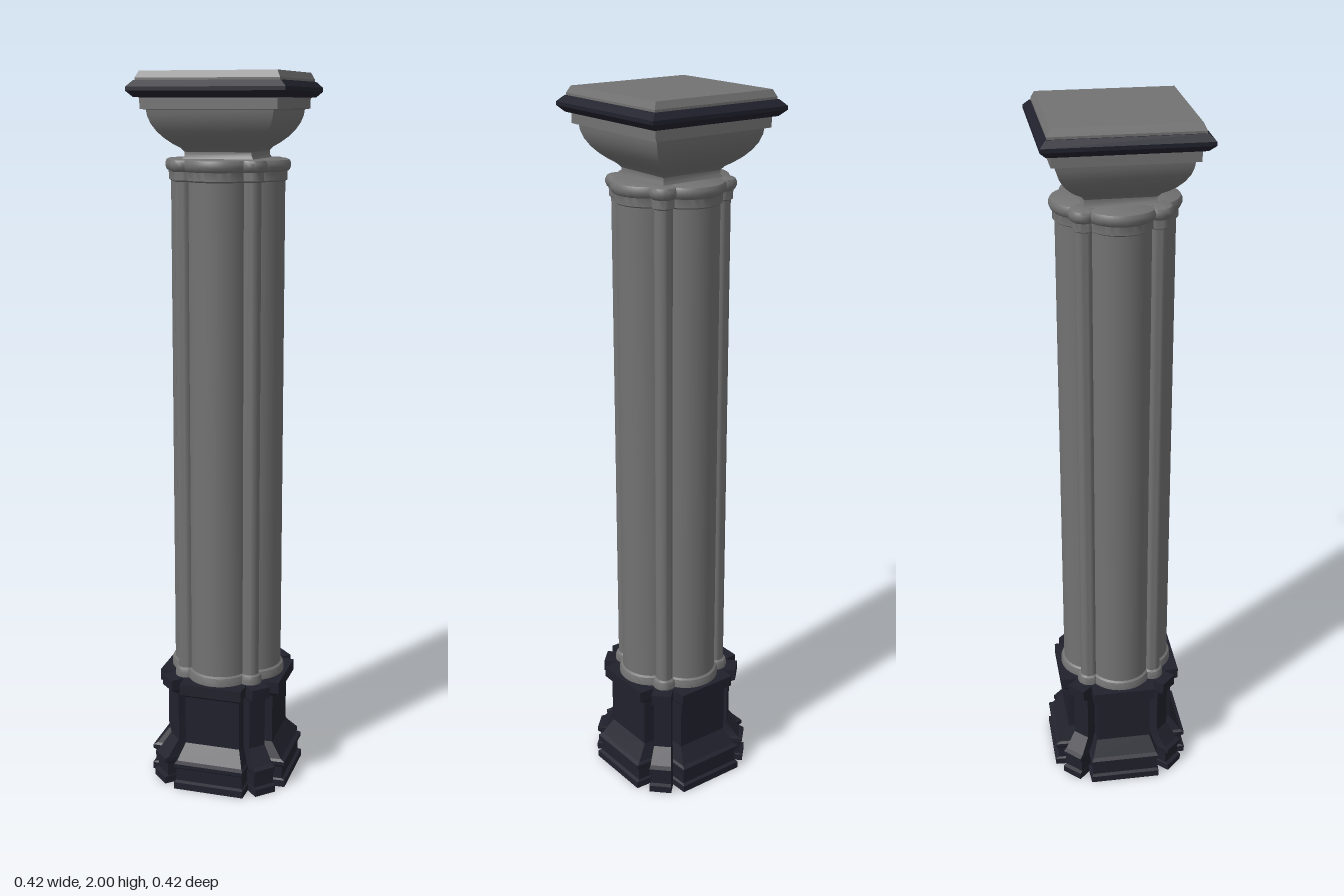
import * as THREE from 'three';
import { toCreasedNormals } from 'three/addons/utils/BufferGeometryUtils.js';

const stone = new THREE.MeshStandardMaterial({ color: 0x727272 });
stone.name = 'grey stone';
const dark = new THREE.MeshStandardMaterial({ color: 0x21212d });
dark.name = 'dark stone';

// Stacks a plan outline, scaled and lifted by each [scale, y] of the profile
function loft(outline, profile, crease) {
  const n = outline.length, pos = [], index = [];
  for (const [s, y] of profile) for (const [x, z] of outline) pos.push(x * s, y, z * s);
  for (let j = 0; j < profile.length - 1; j++) {
    for (let i = 0; i < n; i++) {
      const a = j * n + i, b = j * n + (i + 1) % n, c = a + n, d = b + n;
      if (profile[j][0] > 0) index.push(a, c, b);
      if (profile[j + 1][0] > 0) index.push(b, c, d);
      else if (profile[j][0] > 0) continue;
      else index.push(b, c, d);
    }
  }
  const geo = new THREE.BufferGeometry();
  geo.setAttribute('position', new THREE.Float32BufferAttribute(pos, 3));
  geo.setIndex(index);
  return toCreasedNormals(geo, crease);
}

// Turned shaft with a foot ring and a moulded top ring
function shaftGeometry(r, segments) {
  const steps = [
    [0, 0.31], [0.009, 0.31], [0.009, 0.33], [0.006, 0.338], [0, 0.342],
    [0, 1.718], [0.006, 1.722], [0.006, 1.744], [0.011, 1.748], [0.015, 1.757],
    [0.015, 1.766], [0.011, 1.774], [0.005, 1.777],
  ];
  const points = steps.map(([o, y]) => new THREE.Vector2(r + o, y));
  points.push(new THREE.Vector2(0, 1.777));
  return toCreasedNormals(new THREE.LatheGeometry(points, segments), 0.6);
}

export function createModel() {
  const model = new THREE.Group();
  const add = (name, geo, mat) => {
    const mesh = new THREE.Mesh(geo, mat);
    mesh.name = name;
    model.add(mesh);
    return mesh;
  };

  // Pedestal plan: four flat bays with a small notched facet on each diagonal
  const plan = [];
  const quarter = [
    [0.157, -0.08], [0.157, 0.08], [0.118, 0.082],
    [0.142, 0.106], [0.106, 0.142], [0.082, 0.118],
  ];
  for (let k = 0; k < 4; k++) {
    const c = Math.round(Math.cos(k * Math.PI / 2)), s = Math.round(Math.sin(k * Math.PI / 2));
    for (const [x, z] of quarter) plan.push([x * c - z * s, x * s + z * c]);
  }
  const pedestal = [
    [0, 0], [1.28, 0], [1.28, 0.02], [1.22, 0.024], [1.22, 0.06], [1.27, 0.066],
    [1.27, 0.077], [1.2, 0.083], [1.0, 0.127], [1.0, 0.27], [1.13, 0.283], [1.13, 0.315], [0, 0.315],
  ];
  add('pedestal', loft(plan, pedestal, 0.2), dark);

  // Clustered column: four broad lobes and four slim corner shafts
  const lobe = shaftGeometry(0.085, 48), slim = shaftGeometry(0.024, 24);
  for (let k = 0; k < 4; k++) {
    const a = k * Math.PI / 2, b = a + Math.PI / 4;
    add('columnLobe', lobe, stone).position.set(0.072 * Math.cos(a), 0, 0.072 * Math.sin(a));
    add('cornerShaft', slim, stone).position.set(0.134 * Math.cos(b), 0, 0.134 * Math.sin(b));
  }

  // Square capital: flared bowl, ledge, dark band and bevelled top slab
  const square = [[1, -1], [1, 1], [-1, 1], [-1, -1]];
  const bowl = [
    [0.1, 1.772], [0.092, 1.785], [0.092, 1.795], [0.1, 1.805], [0.115, 1.815],
    [0.133, 1.83], [0.149, 1.848], [0.161, 1.868], [0.168, 1.888], [0.17, 1.903],
    [0.183, 1.905], [0.183, 1.932], [0.19, 1.937], [0, 1.937],
  ];
  add('capitalBowl', loft(square, bowl, 0.6), stone);
  const band = [[0, 1.934], [0.195, 1.934], [0.211, 1.95], [0.211, 1.96], [0.195, 1.976], [0, 1.976]];
  add('capitalBand', loft(square, band, 0.2), dark);
  const slab = [[0.192, 1.974], [0.192, 1.982], [0.183, 2.0], [0, 2.0]];
  add('topSlab', loft(square, slab, 0.2), stone);

  return model;
}
